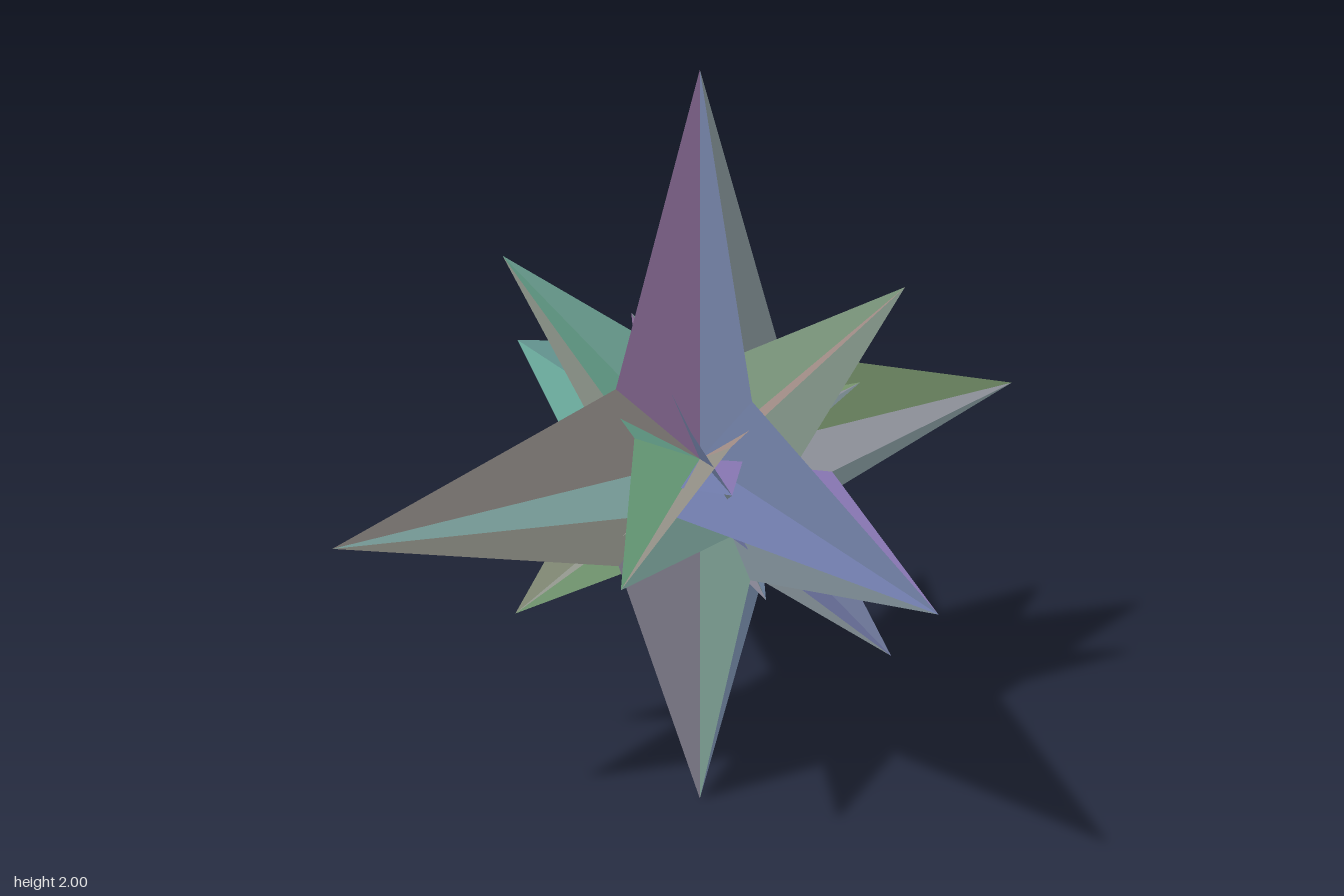
import * as THREE from 'three';

const CENTER_COLOR = new THREE.Color(0x9e9e9e);
const VALLEY = 0.24; // inner corners, as a fraction of the ray length

// Ray tip colours in the order +x, -x, +y, -y, +z, -z
const TIPS = [0x72ae6a, 0x68b268, 0x6064b4, 0x419aa8, 0x5f68be, 0x40a8a4];
const TIPS_TILTED = [0xa8a860, 0x68b860, 0x9cb058, 0x50b068, 0x6860b4, 0x40a888];

// Each sheet lies across two axes; inner corner colours follow the signs ++, +-, -+, --
const SHEETS = [
  { name: 'frontSheet', axes: [0, 1], valleys: [0x80a65a, 0x685cb4, 0xb44c9a, 0xbe82a8] },
  { name: 'levelSheet', axes: [0, 2], valleys: [0x8c40b2, 0x8074a8, 0x3466a8, 0x34b28c] },
  { name: 'sideSheet', axes: [1, 2], valleys: [0x5080a6, 0x4ca69a, 0x80a668, 0xb28080] },
];

// One flat facet from the centre to a ray tip and an inner corner
function facet(name, tip, valley, tipColor, valleyColor) {
  const geometry = new THREE.BufferGeometry().setFromPoints([new THREE.Vector3(), tip, valley]);
  geometry.computeVertexNormals();
  const color = new THREE.Color(tipColor).add(new THREE.Color(valleyColor)).add(CENTER_COLOR).multiplyScalar(1 / 3);
  const material = new THREE.MeshStandardMaterial({ color, side: THREE.DoubleSide });
  const mesh = new THREE.Mesh(geometry, material);
  mesh.name = name;
  return mesh;
}

// A star of three crossing four-pointed sheets, given its three ray vectors
function star(name, rays, tipColors) {
  const group = new THREE.Group();
  group.name = name;
  for (const { name: sheetName, axes: [a, b], valleys } of SHEETS) {
    const sheet = new THREE.Group();
    sheet.name = sheetName;
    [[1, 1], [1, -1], [-1, 1], [-1, -1]].forEach(([sa, sb], i) => {
      const tipA = rays[a].clone().multiplyScalar(sa);
      const tipB = rays[b].clone().multiplyScalar(sb);
      const valley = tipA.clone().add(tipB).multiplyScalar(VALLEY);
      const colorA = tipColors[2 * a + (sa < 0 ? 1 : 0)];
      const colorB = tipColors[2 * b + (sb < 0 ? 1 : 0)];
      sheet.add(facet('rayHalf', tipA, valley, colorA, valleys[i]));
      sheet.add(facet('rayHalf', valley, tipB, colorB, valleys[i]));
    });
    group.add(sheet);
  }
  return group;
}

export function createModel() {
  const v = (x, y, z) => new THREE.Vector3(x, y, z);
  const model = new THREE.Group();
  model.name = 'starburst';

  // Large upright star, medium star turned 45 degrees, small skewed star
  model.add(star('largeStar', [v(1, 0, 0), v(0, 1, 0), v(0, 0, 1)], TIPS));
  model.add(star('mediumStar', [v(0.535, 0, -0.535), v(0.357, 0.5, 0.357), v(0.357, -0.5, 0.357)], TIPS_TILTED));
  model.add(star('smallStar', [v(0.405, 0.165, 0.12), v(-0.12, 0.375, -0.13), v(-0.15, 0.085, 0.39)], TIPS));

  model.position.y = 1;
  const root = new THREE.Group();
  root.add(model);
  return root;
}
